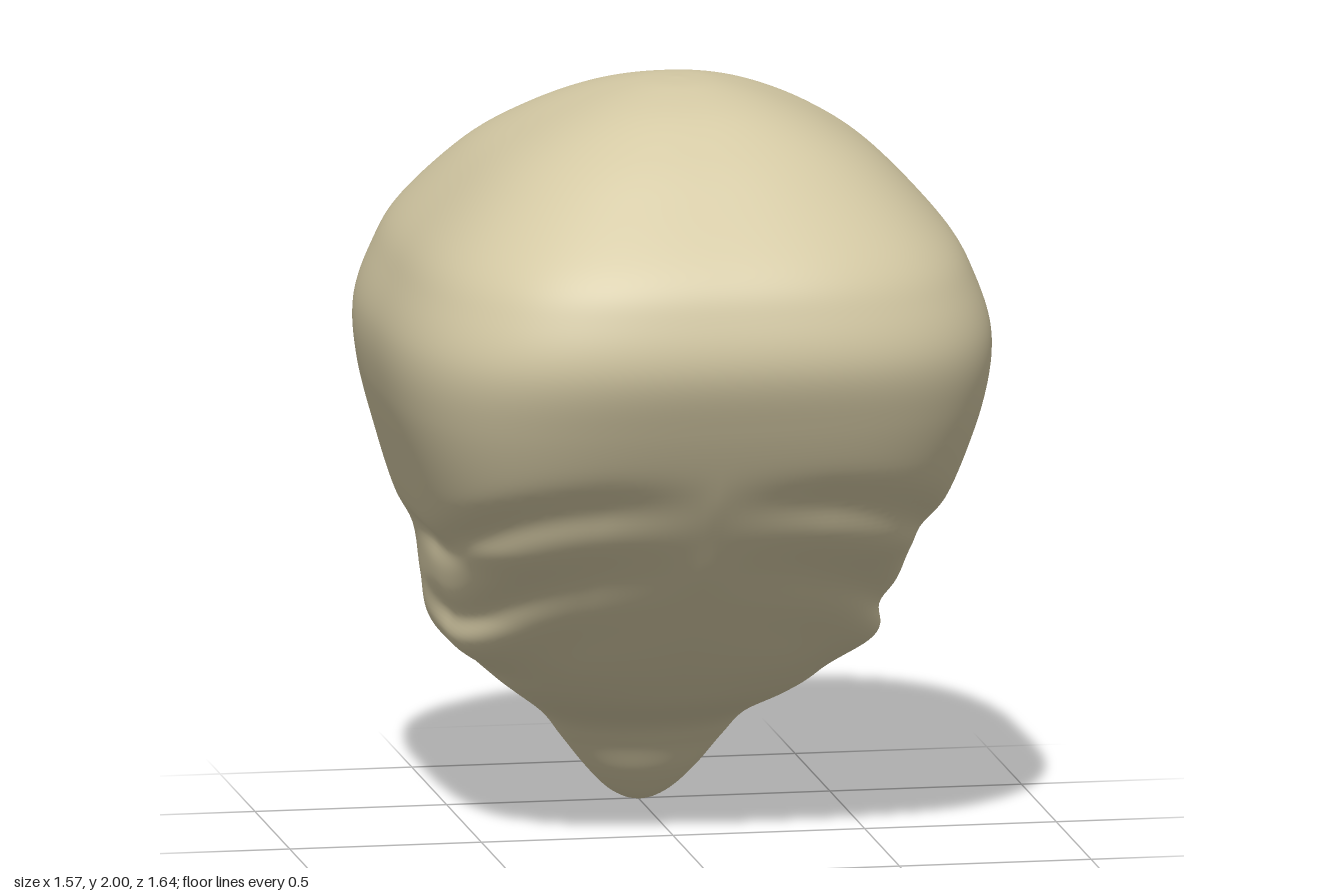
import * as THREE from 'three';
import { mergeVertices } from 'three/addons/utils/BufferGeometryUtils.js';

// Horizontal sections from crown to chin: y, half width, squareness of the +z side
const SIDES = [
  [2, 0, 2.2], [1.99, 0.11, 2.3], [1.95, 0.245, 2.5], [1.88, 0.39, 2.7], [1.78, 0.53, 2.8],
  [1.62, 0.68, 2.9], [1.5, 0.745, 3], [1.36, 0.785, 3.1], [1.2, 0.77, 3.4], [1, 0.71, 3.8], [0.85, 0.655, 3.8],
  [0.75, 0.602, 3.6], [0.62, 0.58, 3.3], [0.5, 0.555, 3], [0.4, 0.45, 2.6], [0.33, 0.36, 2.3],
  [0.25, 0.265, 2.1], [0.18, 0.21, 2], [0.1, 0.147, 2], [0.04, 0.09, 2], [0.01, 0.042, 2], [0, 0, 2],
];
// The same sections: z limit on the +z side, z limit on the face side, squareness of the face side
const DEPTHS = [
  [0.06, 0.06, 2.2], [0.19, -0.07, 2.3], [0.35, -0.24, 2.6], [0.47, -0.4, 2.8], [0.59, -0.56, 3],
  [0.75, -0.715, 3.2], [0.806, -0.77, 3.3], [0.82, -0.805, 3.4], [0.755, -0.82, 3.4], [0.64, -0.82, 3.6], [0.53, -0.805, 4],
  [0.45, -0.78, 4.5], [0.33, -0.75, 4.6], [0.21, -0.715, 4.2], [0.09, -0.68, 3.7], [-0.02, -0.655, 3.2],
  [-0.22, -0.62, 2.7], [-0.3, -0.6, 2.4], [-0.36, -0.57, 2.2], [-0.42, -0.545, 2], [-0.46, -0.52, 2], [-0.49, -0.49, 2],
];
// Skin folds: height at the sides, depth, rise towards the +z side
const FOLDS = [[0.77, 0.035, 0.3], [0.57, 0.045, 0.45], [0.41, 0.04, 0.7]];

const curve = (rows) =>
  new THREE.CatmullRomCurve3(rows.map((r) => new THREE.Vector3(...r)), false, 'catmullrom', 0.5);

// Distance from the slanted eye ellipse: 1 on the rim, under 1 inside
function eyeRadius(x, y) {
  const dx = Math.abs(x) - 0.327, dy = y - 0.63;
  return Math.hypot((dx * 0.4 + dy * 0.917) / 0.238, (dx * 0.917 - dy * 0.4) / 0.178);
}

// Sloping skin folds around the sides and underside
function foldDepth(x, y, z) {
  const fade = THREE.MathUtils.smoothstep(z, -0.45, -0.15) * Math.min(1, Math.abs(x) / 0.3);
  let depth = 0;
  for (const [level, amount, rise] of FOLDS) {
    const d = (y - level - rise * Math.max(0, z + 0.2) ** 2) / 0.045;
    depth += amount * Math.exp(-d * d);
  }
  return depth * fade;
}

function headPoint(side, depth, angle) {
  const [y, w, nFront] = side.toArray();
  const [zf, zb, nBack] = depth.toArray();
  const c = Math.cos(angle), s = Math.sin(angle);
  const n = s > 0 ? nFront : nBack;
  const r = (Math.abs(c) ** n + Math.abs(s) ** n) ** (-1 / n);
  const mid = (zf + zb) / 2;
  let x = w * r * c;
  let z = ((zf - zb) / 2) * r * s;
  const k = 1 - foldDepth(x, y, z + mid);
  x *= k;
  z = z * k + mid;
  let keep = 1;
  if (z < -0.3) {
    // Sunken socket around each eye opening, deeper under the brow
    const e = eyeRadius(x, y);
    const sink = Math.max(0, 0.085 + 0.22 * (y - 0.63)) * THREE.MathUtils.smoothstep(-z, 0.33, 0.62);
    z += sink * Math.exp(-0.3 * e ** 4);
    keep = e - 1;
  }
  return { p: new THREE.Vector3(x, y, z), keep };
}

// Closed shell with the eye openings trimmed cleanly out of it
function headGeometry() {
  const around = 180, down = 210;
  const sides = curve(SIDES), depths = curve(DEPTHS);
  const grid = [];
  for (let j = 0; j <= down; j++) {
    const a = sides.getPoint(j / down), b = depths.getPoint(j / down);
    const row = [];
    for (let i = 0; i < around; i++) row.push(headPoint(a, b, (i / around) * Math.PI * 2));
    grid.push(row);
  }
  const positions = [];
  const addTriangle = (...tri) => {
    const poly = [];
    tri.forEach((a, i) => {
      const b = tri[(i + 1) % 3];
      if (a.keep >= 0) poly.push(a.p);
      if (a.keep >= 0 !== b.keep >= 0) poly.push(a.p.clone().lerp(b.p, a.keep / (a.keep - b.keep)));
    });
    for (let i = 1; i < poly.length - 1; i++) {
      for (const v of [poly[0], poly[i], poly[i + 1]]) positions.push(v.x, v.y, v.z);
    }
  };
  for (let j = 0; j < down; j++) {
    for (let i = 0; i < around; i++) {
      const n = (i + 1) % around;
      const a = grid[j][i], b = grid[j][n], c = grid[j + 1][n], d = grid[j + 1][i];
      if (j > 0) addTriangle(a, b, c);
      if (j < down - 1) addTriangle(a, c, d);
    }
  }
  const raw = new THREE.BufferGeometry();
  raw.setAttribute('position', new THREE.Float32BufferAttribute(positions, 3));
  const geometry = mergeVertices(raw, 1e-5);
  geometry.computeVertexNormals();
  return geometry;
}

export function createModel() {
  const skin = new THREE.MeshStandardMaterial({ color: 0xd4c9a4, side: THREE.DoubleSide });
  skin.name = 'sand skin';
  const head = new THREE.Mesh(headGeometry(), skin);
  head.name = 'headShell';
  const group = new THREE.Group();
  group.name = 'mask';
  group.add(head);
  return group;
}
